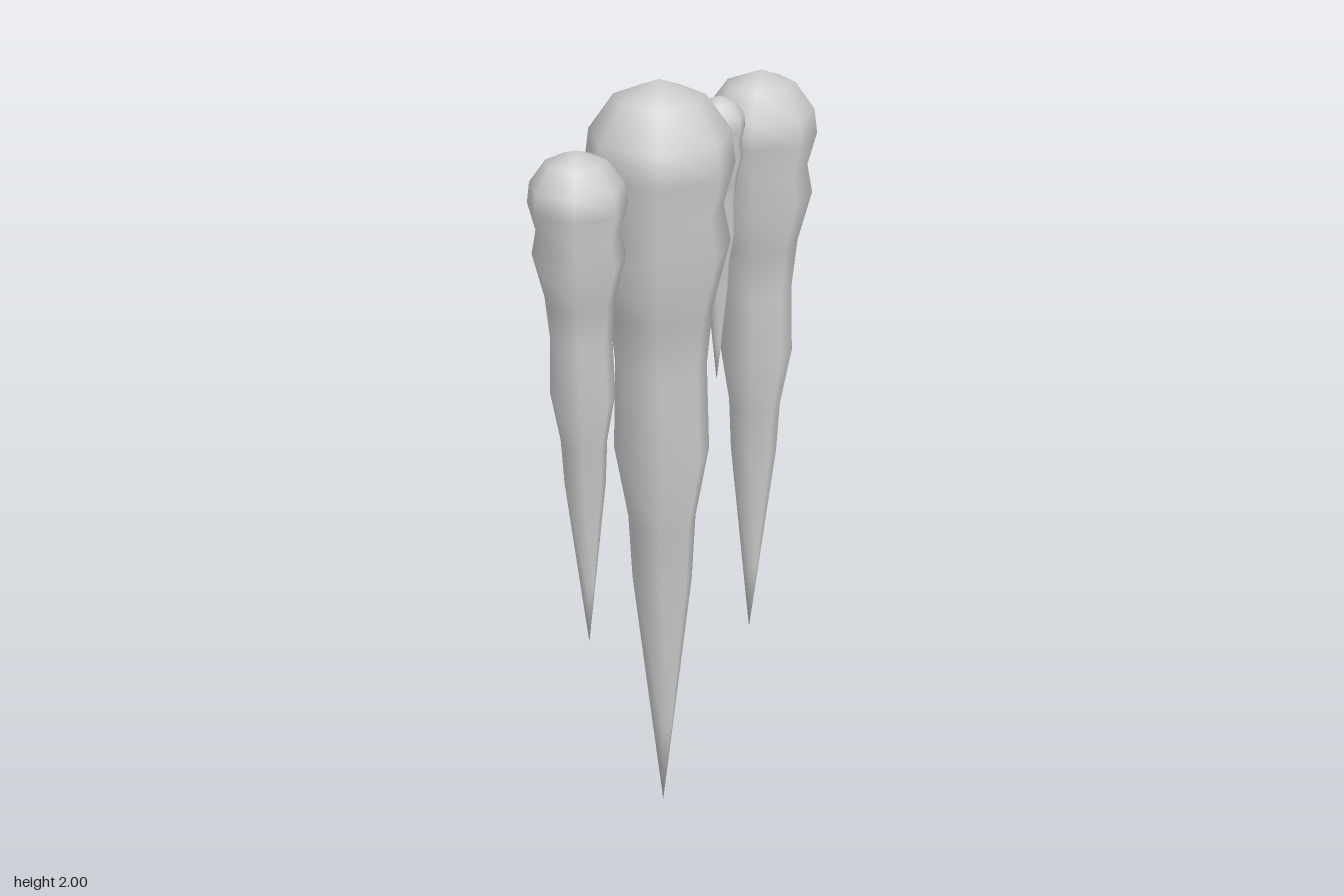
import * as THREE from 'three';
import { mergeVertices } from 'three/addons/utils/BufferGeometryUtils.js';

// Shared knobbly profile, rounded cap to sharp point: [fraction of length from the top, fraction of radius]
const PROFILE = [
  [0, 0], [0.02, 0.6], [0.062, 0.94], [0.1, 1], [0.15, 0.85], [0.195, 0.95], [0.275, 0.72],
  [0.35, 0.64], [0.465, 0.68], [0.56, 0.49], [0.65, 0.44], [0.87, 0.165], [1, 0],
];

// name, x, z, top, tip, radius, turn of the first corner in degrees
const ICICLES = [
  ['largeIcicle', -0.01, 0.083, 2.0, 0.0, 0.177, 9],
  ['backIcicle', 0.046, -0.29, 1.94, 0.37, 0.14, 17.5],
  ['frontIcicle', -0.075, 0.325, 1.893, 0.63, 0.114, 8],
  ['smallIcicle', 0.026, -0.127, 1.915, 1.19, 0.063, 9],
];

export function createModel() {
  const group = new THREE.Group();
  group.name = 'icicles';
  const material = new THREE.MeshStandardMaterial({ color: 0xcccccc });

  for (const [name, x, z, top, tip, radius, turn] of ICICLES) {
    const points = PROFILE
      .map(([t, r]) => new THREE.Vector2(r * radius, top - t * (top - tip)))
      .reverse();
    // Seven sides, welded so the shading runs smoothly over seam, cap and tip
    let geometry = new THREE.LatheGeometry(points, 7);
    geometry.deleteAttribute('normal');
    geometry.deleteAttribute('uv');
    geometry = mergeVertices(geometry);
    geometry.computeVertexNormals();

    const mesh = new THREE.Mesh(geometry, material);
    mesh.name = name;
    mesh.position.set(x, 0, z);
    mesh.rotation.y = THREE.MathUtils.degToRad(90 - turn);
    group.add(mesh);
  }
  return group;
}
